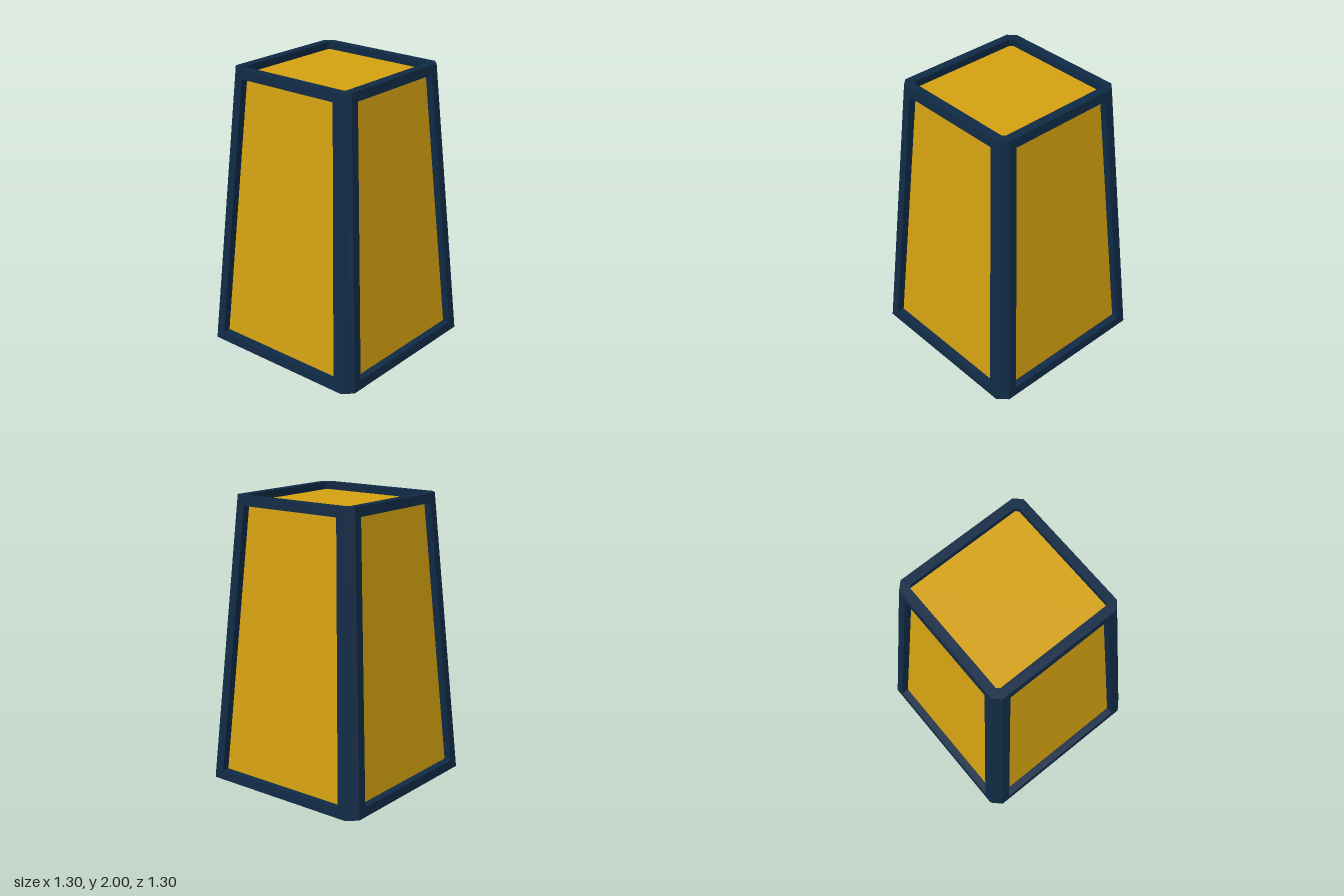
import * as THREE from 'three';

const HEIGHT = 2, BASE = 0.648, TOP = 0.495;
const RECESS = 0.052;   // depth of the panels behind the frame
const CORNER = 0.9;     // where the corner chamfer starts, as a share of the half width

// Half width of the tapered body at height y
const half = (y) => BASE + (TOP - BASE) * y / HEIGHT;

const frameMat = new THREE.MeshStandardMaterial({ color: 0x102a45, flatShading: true });
const panelMat = new THREE.MeshStandardMaterial({ color: 0xd4a111, flatShading: true });

const points = (list) => list.map(([x, y]) => new THREE.Vector2(x, y));

// Square outline with cut corners
const octagon = (h, c) => points([
  [h, -c], [h, c], [c, h], [-c, h], [-c, -h].map((v, i) => (i ? c : -h)),
  [-h, -c], [-c, -h], [c, -h],
]);

function extrude(outline, hole, depth) {
  const shape = new THREE.Shape(outline);
  if (hole) shape.holes.push(new THREE.Path(hole));
  return new THREE.ExtrudeGeometry(shape, { depth, bevelEnabled: false });
}

// Moves every vertex by a rule and refreshes the flat normals
function reshape(geometry, rule) {
  const p = geometry.attributes.position, v = new THREE.Vector3();
  for (let i = 0; i < p.count; i++) {
    rule(v.fromBufferAttribute(p, i));
    p.setXYZ(i, v.x, v.y, v.z);
  }
  geometry.computeVertexNormals();
  return geometry;
}

// Extrudes a unit-width plan upward from y0 to y1, following the taper
function taperedPlan(outline, hole, y0, y1) {
  const g = extrude(outline, hole, y1 - y0).rotateX(-Math.PI / 2).translate(0, y0, 0);
  return reshape(g, (v) => { v.x *= half(v.y); v.z *= half(v.y); });
}

export function createModel() {
  const model = new THREE.Group();
  const add = (name, geometry, material, turn = 0) => {
    const mesh = new THREE.Mesh(geometry, material);
    mesh.name = name;
    mesh.rotation.y = turn;
    model.add(mesh);
  };

  // Core whose faces show as the recessed panels
  const y0 = RECESS, y1 = HEIGHT - RECESS;
  const core = new THREE.CylinderGeometry(
    (half(y1) - RECESS) * Math.SQRT2, (half(y0) - RECESS) * Math.SQRT2, y1 - y0, 4);
  core.rotateY(Math.PI / 4).translate(0, (y0 + y1) / 2, 0);
  add('panels', core, panelMat);

  // Side frame: trapezoid with a trapezoid opening, leaned along the taper
  const b = BASE * CORNER, t = TOP * CORNER;
  const sideFrame = reshape(
    extrude(
      points([[-b, 0], [b, 0], [t, HEIGHT], [-t, HEIGHT]]),
      points([[-0.515, 0.065], [-0.39, 1.935], [0.39, 1.935], [0.515, 0.065]]),
      RECESS + 0.004),
    (v) => { v.z += half(v.y) - RECESS - 0.004; });

  // Corner post: wedge that closes the chamfer between two side frames
  const post = taperedPlan(
    points([[1, CORNER], [CORNER, 1], [CORNER, CORNER]]), null, 0, HEIGHT);

  for (let i = 0; i < 4; i++) {
    add('sideFrame', sideFrame, frameMat, i * Math.PI / 2);
    add('cornerPost', post, frameMat, i * Math.PI / 2);
  }

  // Top and bottom rims with cut-corner openings
  const rim = octagon(1, CORNER);
  add('topRim', taperedPlan(rim, octagon(0.873, 0.837), HEIGHT - RECESS - 0.004, HEIGHT), frameMat);
  add('bottomRim', taperedPlan(rim, octagon(0.903, 0.876), 0, RECESS + 0.004), frameMat);

  return model;
}
